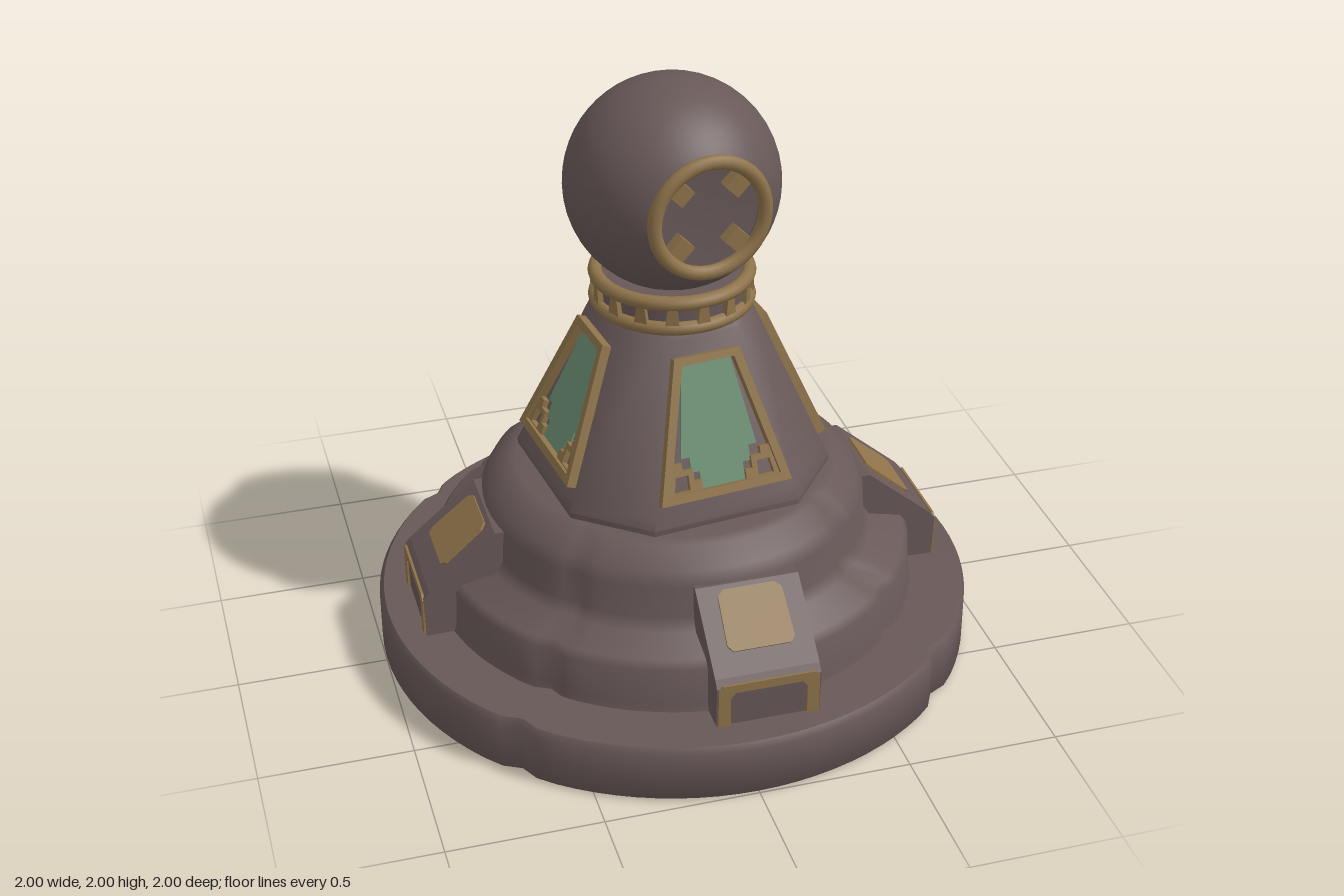
import * as THREE from 'three';
import { toCreasedNormals } from 'three/addons/utils/BufferGeometryUtils.js';

const mat = (name, color) => {
  const m = new THREE.MeshStandardMaterial({ color });
  m.name = name;
  return m;
};

const poly = (pts) => new THREE.Shape(pts.map((p) => new THREE.Vector2(...p)));
const mirrored = (half) => poly([...half, ...half.map(([x, y]) => [-x, y]).reverse()]);
const plate = (shape, depth) => new THREE.ExtrudeGeometry(shape, { depth, bevelEnabled: false });

export function createModel() {
  const stone = mat('weathered stone', 0x685858);
  const gold = mat('old gold', 0x8e734a);
  const green = mat('green glass', 0x6b8e72);
  const root = new THREE.Group();
  root.name = 'domedMonument';

  const add = (parent, name, geometry, material, x = 0, y = 0, z = 0) => {
    const mesh = new THREE.Mesh(geometry, material);
    mesh.name = name;
    mesh.position.set(x, y, z);
    parent.add(mesh);
    return mesh;
  };

  // Lathe whose four quarters meet in shallow grooves on the diagonals
  const groovedLathe = (pts, crease) => {
    const g = new THREE.LatheGeometry(pts.map((p) => new THREE.Vector2(...p)), 96);
    const p = g.attributes.position;
    for (let i = 0; i < p.count; i++) {
      const x = p.getX(i), z = p.getZ(i);
      const d = Math.abs(Math.abs(x) - Math.abs(z)) / (Math.hypot(x, z) + 1e-6);
      const s = 1 - 0.025 * Math.exp(-Math.pow(d / 0.06, 2));
      p.setXYZ(i, x * s, p.getY(i), z * s);
    }
    return toCreasedNormals(g, crease);
  };

  // Foot disc and stepped plinth
  add(root, 'footDisc', groovedLathe(
    [[0, 0], [0.99, 0], [1, 0.01], [1, 0.175], [0.985, 0.195], [0.75, 0.2]], 0.9), stone);
  add(root, 'steppedPlinth', groovedLathe(
    [[0.82, 0.18], [0.805, 0.22], [0.8, 0.35], [0.78, 0.375], [0.67, 0.4], [0.645, 0.44],
      [0.64, 0.55], [0.615, 0.595], [0.55, 0.65], [0.52, 0.66], [0.3, 0.665]], 1.1), stone);

  // Four buttresses with gilded tops and faces
  const buttressGeo = plate(poly([[0.5, 0.19], [0.885, 0.19], [0.89, 0.34], [0.87, 0.365],
    [0.645, 0.555], [0.5, 0.555]]), 0.34).translate(0, 0, -0.17);
  const faceTrim = plate(mirrored([[0.165, 0], [0.165, 0.14], [0.15, 0.155]]), 0.008);
  const trimShape = poly([[-0.165, 0], [-0.125, 0], [-0.125, 0.105], [-0.11, 0.125], [0.11, 0.125],
    [0.125, 0.105], [0.125, 0], [0.165, 0], [0.165, 0.14], [0.15, 0.155], [-0.15, 0.155], [-0.165, 0.14]]);
  faceTrim.dispose();
  const faceTrimGeo = plate(trimShape, 0.008);
  const topPatchGeo = plate(mirrored([[0.095, -0.1], [0.11, -0.08], [0.105, 0.08], [0.085, 0.1]]), 0.008);
  const slope = Math.atan2(0.19, 0.225);
  for (let k = 0; k < 4; k++) {
    const b = new THREE.Group();
    b.name = 'buttress' + (k + 1);
    b.rotation.y = k * Math.PI / 2;
    b.position.x = k % 2 ? 0.06 : 0;
    add(b, 'buttressBlock', buttressGeo, stone);
    add(b, 'buttressFaceTrim', faceTrimGeo, gold, 0.886, 0.195, 0).rotation.y = Math.PI / 2;
    const patch = add(b, 'buttressTopPatch', topPatchGeo, gold, 0.735, 0.479, 0);
    patch.rotation.set(0, Math.PI / 2, 0);
    patch.rotateX(-(Math.PI / 2 - slope));
    root.add(b);
  }

  // Everything above the plinth is turned slightly
  const upper = new THREE.Group();
  upper.name = 'upperTower';
  upper.rotation.y = 0.12;
  root.add(upper);

  // Tapered tower: chamfered square sections [height, apothem, half face width]
  const rings = [[0.65, 0.455, 0.25], [0.68, 0.458, 0.25], [0.72, 0.44, 0.24],
    [1.22, 0.235, 0.13], [1.245, 0.21, 0.12]];
  const pos = [], idx = [];
  for (const [y, a, w] of rings) {
    pos.push(-w, y, a, w, y, a, a, y, w, a, y, -w, w, y, -a, -w, y, -a, -a, y, -w, -a, y, w);
  }
  for (let r = 0; r < rings.length - 1; r++) {
    for (let i = 0; i < 8; i++) {
      const a = r * 8 + i, b = r * 8 + (i + 1) % 8;
      idx.push(a, b, b + 8, a, b + 8, a + 8);
    }
  }
  const towerGeo = new THREE.BufferGeometry();
  towerGeo.setAttribute('position', new THREE.Float32BufferAttribute(pos, 3));
  towerGeo.setIndex(idx);
  add(upper, 'towerBody', toCreasedNormals(towerGeo, 0.85), stone);

  // Tower windows: frame, glass and stepped corner brackets
  const frame = mirrored([[0.225, 0], [0.112, 0.454]]);
  frame.holes.push(mirrored([[0.19, 0.028], [0.089, 0.428]]));
  const frameGeo = plate(frame, 0.032);
  const glassGeo = plate(mirrored([[0.075, 0.028], [0.075, 0.085], [0.102, 0.085], [0.102, 0.135],
    [0.13, 0.135], [0.084, 0.428]]), 0.008);
  const bracket = poly([[0.075, 0.02], [0.195, 0.02], [0.175, 0.125], [0.135, 0.125], [0.135, 0.1],
    [0.1, 0.1], [0.1, 0.06], [0.075, 0.06]]);
  bracket.holes.push(poly([[0.118, 0.032], [0.172, 0.032], [0.162, 0.082], [0.118, 0.082]]));
  const bracketGeo = plate(bracket, 0.02);
  for (let k = 0; k < 4; k++) {
    const side = new THREE.Group();
    side.name = 'towerWindow' + (k + 1);
    side.rotation.y = k * Math.PI / 2;
    const win = new THREE.Group();
    win.name = 'windowPanel';
    win.position.set(0, 0.75, 0.427);
    win.rotation.x = -0.389;
    add(win, 'windowFrame', frameGeo, gold);
    add(win, 'windowGlass', glassGeo, green);
    add(win, 'rightBracket', bracketGeo, gold);
    const left = add(win, 'leftBracket', bracketGeo, gold);
    left.rotation.y = Math.PI;
    left.position.z = 0.02;
    side.add(win);
    upper.add(side);
  }

  // Neck collar: stone band between two gold rings joined by posts
  add(upper, 'neckBand', new THREE.CylinderGeometry(0.245, 0.245, 0.115, 48), stone, 0, 1.305, 0);
  for (const y of [1.262, 1.348]) {
    add(upper, 'neckRing', new THREE.TorusGeometry(0.246, 0.024, 10, 48).rotateX(Math.PI / 2), gold, 0, y, 0);
  }
  const postGeo = plate(poly([[-0.024, -0.045], [0.024, -0.045], [0.012, 0.045], [-0.012, 0.045]]), 0.022);
  for (let i = 0; i < 16; i++) {
    const t = i * Math.PI / 8;
    add(upper, 'neckPost', postGeo, gold, Math.sin(t) * 0.24, 1.305, Math.cos(t) * 0.24).rotation.y = t;
  }

  // Globe with a recessed round opening front and back
  const R = 0.345, profile = [new THREE.Vector2(0, -0.25), new THREE.Vector2(0.175, -0.265)];
  for (let i = 0; i <= 24; i++) {
    const a = -1.02 + 2.04 * i / 24;
    profile.push(new THREE.Vector2(R * Math.cos(a), R * Math.sin(a)));
  }
  profile.push(new THREE.Vector2(0.175, 0.265), new THREE.Vector2(0, 0.25));
  const globeGeo = toCreasedNormals(new THREE.LatheGeometry(profile, 48), 0.6).rotateX(Math.PI / 2);
  add(upper, 'globe', globeGeo, stone, 0, 1.655, 0);

  // Porthole rims with four studs each
  for (let k = 0; k < 2; k++) {
    const port = new THREE.Group();
    port.name = k ? 'backPorthole' : 'frontPorthole';
    port.position.y = 1.66;
    port.rotation.y = k * Math.PI;
    add(port, 'portholeRim', new THREE.TorusGeometry(0.184, 0.023, 10, 40), gold, 0, 0, 0.302);
    for (let i = 0; i < 4; i++) {
      const t = Math.PI / 4 + i * Math.PI / 2;
      add(port, 'portholeStud', new THREE.BoxGeometry(0.075, 0.06, 0.04), gold,
        Math.cos(t) * 0.138, Math.sin(t) * 0.138, 0.28).rotation.z = t;
    }
    upper.add(port);
  }
  return root;
}
